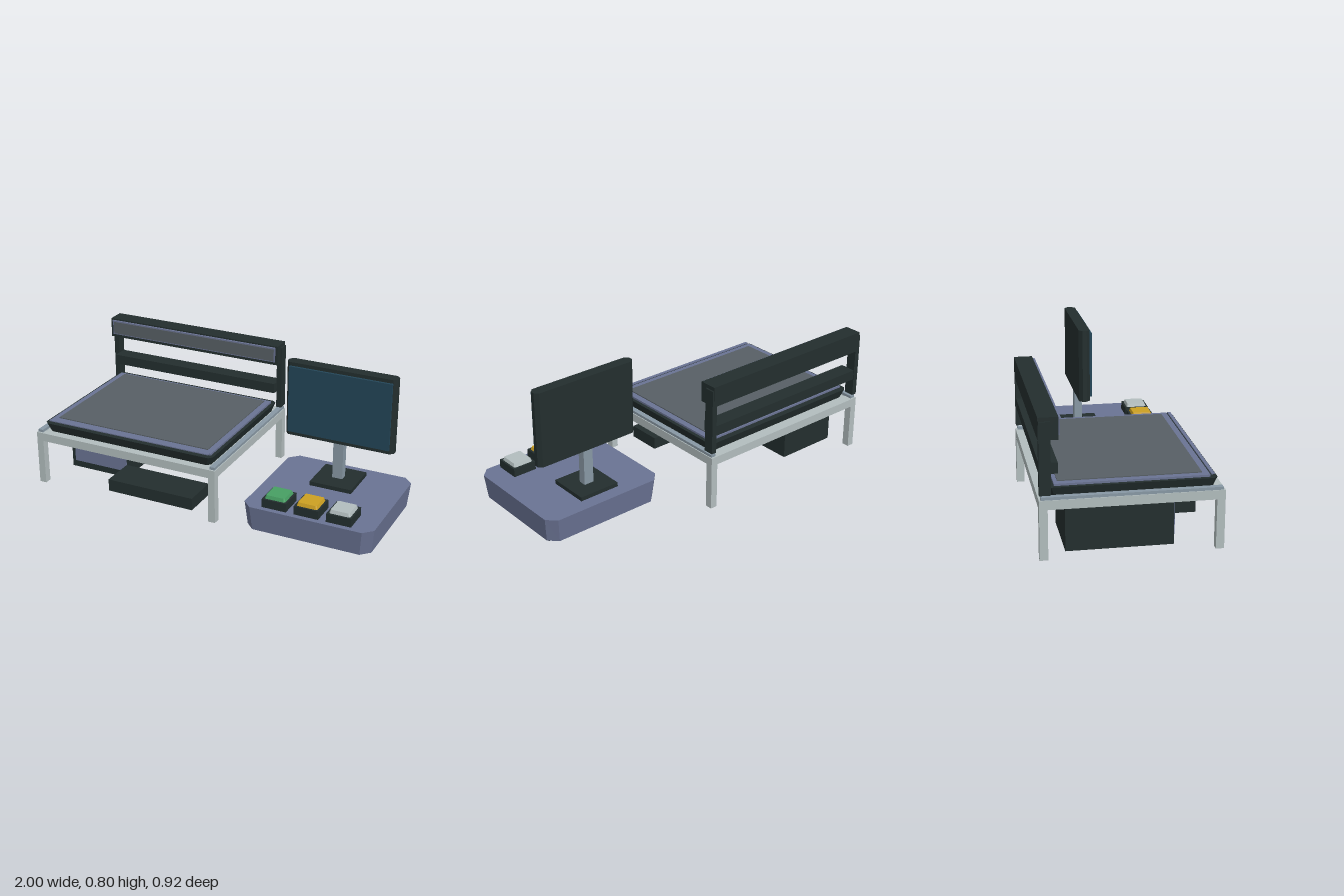
import * as THREE from 'three';

const mat = (name, color) => {
  const m = new THREE.MeshStandardMaterial({ color });
  m.name = name;
  return m;
};

export function createModel() {
  const dark = mat('charcoal', 0x232e2e);
  const lilac = mat('slate lilac', 0x6a7393);
  const frame = mat('light grey', 0xb2bdbe);
  const steel = mat('steel', 0x8898a4);
  const bed = mat('bed grey', 0x575f65);
  const glass = mat('screen blue', 0x234557);
  const green = mat('green', 0x479f63);
  const yellow = mat('yellow', 0xcca022);

  const model = new THREE.Group();
  model.name = 'workstation';
  const group = (name) => {
    const g = new THREE.Group();
    g.name = name;
    model.add(g);
    return g;
  };
  const add = (parent, name, geometry, material) => {
    const mesh = new THREE.Mesh(geometry, material);
    mesh.name = name;
    parent.add(mesh);
    return mesh;
  };
  // Box given by its limits on each axis
  const box = (parent, name, material, x0, x1, y0, y1, z0, z1) => {
    const mesh = add(parent, name, new THREE.BoxGeometry(x1 - x0, y1 - y0, z1 - z0), material);
    mesh.position.set((x0 + x1) / 2, (y0 + y1) / 2, (z0 + z1) / 2);
    return mesh;
  };
  // Block with cut corners in plan; positive inset narrows the bottom, negative the top
  const block = (parent, name, material, x0, x1, y0, y1, z0, z1, cut, inset = 0) => {
    const a = (x1 - x0) / 2, b = (z1 - z0) / 2, h = y1 - y0;
    const shape = new THREE.Shape([
      [-a + cut, -b], [a - cut, -b], [a, -b + cut], [a, b - cut],
      [a - cut, b], [-a + cut, b], [-a, b - cut], [-a, -b + cut],
    ].map(([x, y]) => new THREE.Vector2(x, y)));
    const geo = new THREE.ExtrudeGeometry(shape, { depth: h, bevelEnabled: false });
    geo.rotateX(-Math.PI / 2);
    const p = geo.attributes.position;
    for (let i = 0; i < p.count; i++) {
      const low = p.getY(i) < h / 2;
      const d = low === inset > 0 ? Math.abs(inset) : 0;
      p.setX(i, p.getX(i) * (1 - d / a));
      p.setZ(i, p.getZ(i) * (1 - d / b));
    }
    geo.computeVertexNormals();
    const mesh = add(parent, name, geo, material);
    mesh.position.set((x0 + x1) / 2, y0, (z0 + z1) / 2);
    return mesh;
  };

  // Table frame
  const table = group('table');
  for (const x of [-1, 0.08]) {
    for (const z of [-0.46, 0.418]) box(table, 'tableLeg', frame, x, x + 0.04, 0, 0.31, z, z + 0.042);
    box(table, 'sideRail', frame, x, x + 0.04, 0.262, 0.31, -0.418, 0.418);
    box(table, 'linearRail', steel, x + 0.005, x + 0.035, 0.31, 0.325, -0.45, 0.45);
  }
  for (const z of [-0.46, 0.418]) box(table, 'crossRail', frame, -0.96, 0.08, 0.262, 0.31, z, z + 0.042);
  box(table, 'underPanel', frame, -0.96, 0.08, 0.285, 0.309, -0.418, 0.418);

  // Working bed
  const bedGroup = group('bed');
  block(bedGroup, 'bedTray', dark, -0.965, 0.085, 0.31, 0.362, -0.415, 0.43, 0.02, 0.018);
  box(bedGroup, 'bedBorder', lilac, -0.945, 0.065, 0.362, 0.373, -0.38, 0.395);
  box(bedGroup, 'bedSurface', bed, -0.91, 0.03, 0.373, 0.378, -0.36, 0.36);
  box(bedGroup, 'frontTrim', lilac, -0.94, 0.06, 0.372, 0.377, 0.4, 0.418);

  // Rear gantry
  const gantry = group('gantry');
  for (const x of [-0.998, 0.088]) box(gantry, 'gantryPost', dark, x, x + 0.03, 0.335, 0.705, -0.458, -0.4);
  box(gantry, 'upperBeam', dark, -0.99, 0.11, 0.612, 0.726, -0.46, -0.36);
  box(gantry, 'lowerBeam', dark, -0.97, 0.09, 0.435, 0.492, -0.455, -0.363);
  box(gantry, 'beamBezel', lilac, -0.975, 0.095, 0.63, 0.712, -0.36, -0.354);
  box(gantry, 'beamPanel', bed, -0.968, 0.088, 0.636, 0.708, -0.354, -0.351);
  box(gantry, 'beamLip', lilac, -0.975, 0.095, 0.711, 0.718, -0.36, -0.347);

  // Cabinet and tray below the table
  const cabinet = group('cabinet');
  box(cabinet, 'cabinetBody', dark, -0.93, -0.565, 0.01, 0.262, -0.325, 0.22);
  box(cabinet, 'cabinetFace', lilac, -0.905, -0.565, 0.052, 0.26, 0.22, 0.229);
  for (let i = 0; i < 5; i++) {
    const x = -0.82 + i * 0.0425;
    box(cabinet, 'vent', dark, x - 0.01, x + 0.01, 0.155, 0.207, 0.229, 0.236);
  }
  box(cabinet, 'lowerTray', dark, -0.565, -0.04, 0.02, 0.09, 0.22, 0.42);

  // Control console
  const control = group('console');
  block(control, 'consoleBody', lilac, 0.272, 1, 0.01, 0.147, -0.22, 0.46, 0.05, 0.014);
  for (const x of [0.298, 0.922]) {
    for (const z of [-0.157, 0.347]) box(control, 'consoleFoot', dark, x, x + 0.05, 0, 0.011, z, z + 0.042);
  }
  [green, yellow, frame].forEach((colour, i) => {
    const x = 0.45 + i * 0.181;
    box(control, 'buttonBase', dark, x - 0.069, x + 0.069, 0.146, 0.195, 0.288, 0.431);
    block(control, 'buttonCap', colour, x - 0.058, x + 0.058, 0.195, 0.214, 0.3, 0.42, 0.006, -0.006);
  });

  // Monitor on its stand
  const monitor = group('monitor');
  box(monitor, 'standBase', dark, 0.51, 0.75, 0.146, 0.17, -0.145, 0.092);
  box(monitor, 'standColumn', steel, 0.602, 0.66, 0.17, 0.385, -0.053, -0.008);
  block(monitor, 'monitorHousing', dark, 0.32, 0.942, 0.38, 0.804, -0.064, 0, 0.02);
  box(monitor, 'screen', glass, 0.341, 0.921, 0.404, 0.784, 0, 0.014);

  return model;
}
